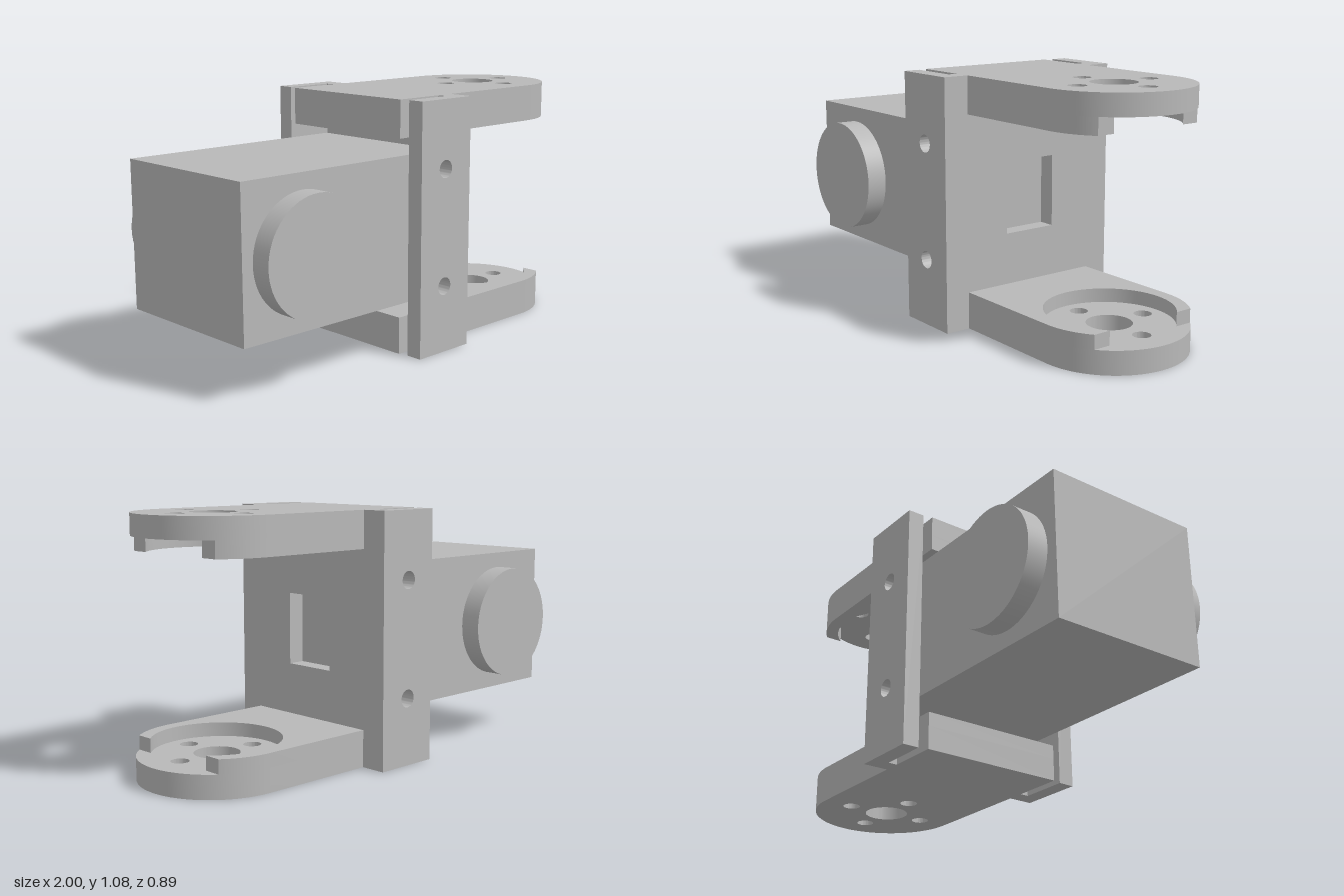
import * as THREE from 'three';
import { toCreasedNormals } from 'three/addons/utils/BufferGeometryUtils.js';

const HEIGHT = 1.08;
const ARM_HALF = 0.327;   // half width and end radius of an arm
const PIVOT_X = 0.67;     // centre of the rounded arm end
const STEP_X = 0.87;      // where the thick layer of an arm stops
const RECESS_R = 0.27;

const gray = new THREE.MeshStandardMaterial({ color: 0xb8b8b8 });
gray.name = 'gray';

function mesh(name, geometry, parent) {
  const m = new THREE.Mesh(geometry, gray);
  m.name = name;
  parent.add(m);
  return m;
}

function extrude(shape, depth) {
  const g = new THREE.ExtrudeGeometry(shape, { depth, bevelEnabled: false, curveSegments: 40 });
  return toCreasedNormals(g, 0.5);
}

function polygon(points) {
  return new THREE.Shape(points.map(([x, y]) => new THREE.Vector2(x, y)));
}

function addHole(shape, x, y, r) {
  const hole = new THREE.Path();
  hole.absarc(x, y, r, 0, Math.PI * 2, true);
  shape.holes.push(hole);
}

// Thin outer layer of an arm: rounded end, horn hole and four screw holes
function armPlateShape() {
  const s = new THREE.Shape();
  s.moveTo(-0.155, -ARM_HALF);
  s.lineTo(PIVOT_X, -ARM_HALF);
  s.absarc(PIVOT_X, 0, ARM_HALF, -Math.PI / 2, Math.PI / 2, false);
  s.lineTo(-0.155, ARM_HALF);
  s.closePath();
  addHole(s, PIVOT_X, 0, 0.096);
  for (let i = 0; i < 4; i++) {
    const a = i * Math.PI / 2;
    addHole(s, PIVOT_X + 0.188 * Math.cos(a), 0.188 * Math.sin(a), 0.038);
  }
  return s;
}

// Inner layer of an arm: cut straight across, with a round recess open to the end
function armRimShape() {
  const dx = STEP_X - PIVOT_X;
  const outer = Math.acos(dx / ARM_HALF);
  const inner = Math.acos(dx / RECESS_R);
  const s = new THREE.Shape();
  s.moveTo(-0.155, -ARM_HALF);
  s.lineTo(PIVOT_X, -ARM_HALF);
  s.absarc(PIVOT_X, 0, ARM_HALF, -Math.PI / 2, -outer, false);
  s.absarc(PIVOT_X, 0, RECESS_R, -inner, inner, true);
  s.absarc(PIVOT_X, 0, ARM_HALF, outer, Math.PI / 2, false);
  s.lineTo(-0.155, ARM_HALF);
  s.closePath();
  return s;
}

// Lay a plan shape flat, with its upper face at the given height
function flat(shape, depth, top) {
  return extrude(shape, depth).rotateX(Math.PI / 2).translate(0, top, 0);
}

export function createModel() {
  const model = new THREE.Group();
  model.name = 'servoBracket';

  // Motor body with a round boss on each side
  const motor = new THREE.Group();
  motor.name = 'motor';
  model.add(motor);
  mesh('motorBody', new THREE.BoxGeometry(1.06, 0.625, 0.71), motor).position.set(-0.47, 0.5425, 0);
  for (const side of [1, -1]) {
    const boss = mesh('motorBoss', new THREE.CylinderGeometry(0.246, 0.246, 0.09, 64), motor);
    boss.rotation.x = Math.PI / 2;
    boss.position.set(-0.705, 0.542, side * 0.4);
  }

  const bracket = new THREE.Group();
  bracket.name = 'bracket';
  model.add(bracket);

  // Arms, recessed on the faces turned towards each other
  const plate = armPlateShape();
  const rim = armRimShape();
  mesh('lowerArmPlate', flat(plate, 0.1, 0.1), bracket);
  mesh('lowerArmRim', flat(rim, 0.06, 0.16), bracket);
  mesh('upperArmPlate', flat(plate, 0.09, HEIGHT), bracket);
  mesh('upperArmRim', flat(rim, 0.07, 0.99), bracket);

  // Cross wall between the arms, notched around them, with a square window
  const w = 0.367, a = ARM_HALF;
  const wall = polygon([
    [-w, 0], [-a, 0], [-a, 0.16], [a, 0.16], [a, 0], [w, 0],
    [w, HEIGHT], [a, HEIGHT], [a, 0.92], [-a, 0.92], [-a, HEIGHT], [-w, HEIGHT],
  ]);
  wall.holes.push(polygon([[-0.125, 0.385], [-0.125, 0.7], [0.125, 0.7], [0.125, 0.385]]));
  mesh('crossWall', extrude(wall, 0.075).rotateY(Math.PI / 2).translate(0.075, 0, 0), bracket);

  // Side flanges with two screw holes, standing clear of the motor and arms
  const flange = polygon([[-0.145, 0], [0.15, 0], [0.15, HEIGHT], [-0.145, HEIGHT]]);
  addHole(flange, 0, 0.29, 0.038);
  addHole(flange, 0, 0.79, 0.038);
  for (const z of [w, -0.44]) {
    mesh('sideFlange', extrude(flange, 0.073).translate(0, 0, z), bracket);
  }

  return model;
}
